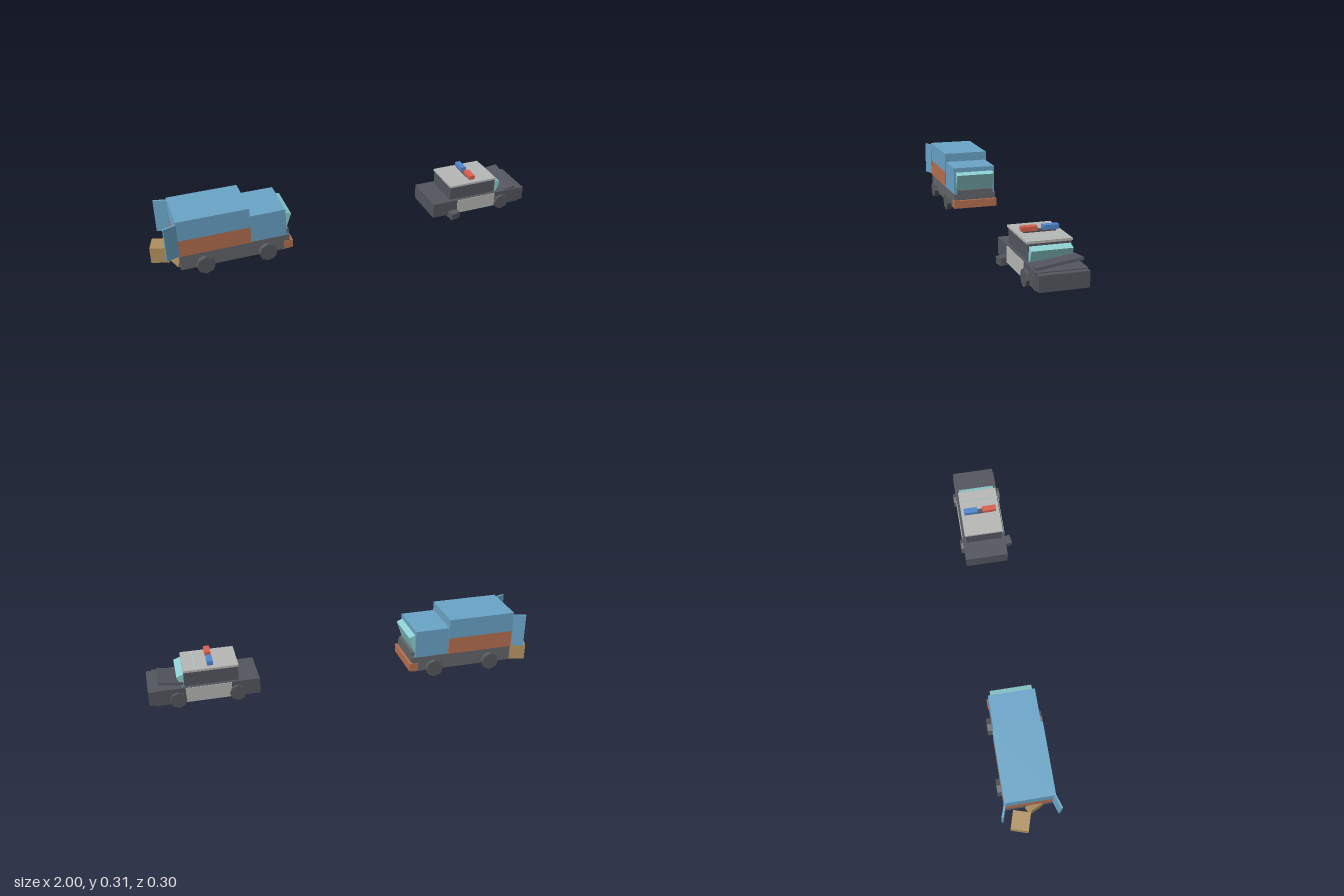
import * as THREE from 'three';

const BLUE = 0x6aa5c8, RUST = 0xb87050, TEAL = 0x8fd0d2, GREY = 0x63666a,
  DARK = 0x54565f, TYRE = 0x55585c, LIGHT = 0xb8b8b6, WOOD = 0xb0905f,
  RED = 0xdc6050, LAMP = 0x5088d0;

const material = (color) => new THREE.MeshStandardMaterial({ color, flatShading: true });

// Box with given size, centre and optional rotation
function box(parent, name, color, size, pos, rot = [0, 0, 0]) {
  const mesh = new THREE.Mesh(new THREE.BoxGeometry(...size), material(color));
  mesh.name = name;
  mesh.position.set(...pos);
  mesh.rotation.set(...rot);
  parent.add(mesh);
  return mesh;
}

// Box given by its x and y ranges, width along z
function slab(parent, name, color, x0, x1, y0, y1, width, z = 0) {
  return box(parent, name, color, [x1 - x0, y1 - y0, width], [(x0 + x1) / 2, (y0 + y1) / 2, z]);
}

// Low-poly wheel with its axle along z
function wheel(parent, name, x, y, z, radius, width) {
  const geo = new THREE.CylinderGeometry(radius, radius, width, 8);
  geo.rotateX(Math.PI / 2);
  const mesh = new THREE.Mesh(geo, material(TYRE));
  mesh.name = name;
  mesh.position.set(x, y, z);
  parent.add(mesh);
}

function buildVan() {
  const van = new THREE.Group();
  van.name = 'van';

  // Body
  slab(van, 'chassis', GREY, -0.88, -0.335, 0.032, 0.112, 0.235);
  slab(van, 'cargoLower', RUST, -0.883, -0.53, 0.112, 0.2, 0.243);
  slab(van, 'cargoUpper', BLUE, -0.883, -0.53, 0.2, 0.305, 0.243);
  slab(van, 'cab', BLUE, -0.53, -0.35, 0.112, 0.258, 0.232);

  // Nose
  box(van, 'windshield', TEAL, [0.04, 0.11, 0.208], [-0.356, 0.177, 0], [0, 0, -0.35]);
  slab(van, 'grille', GREY, -0.35, -0.333, 0.07, 0.135, 0.2);
  slab(van, 'bumper', RUST, -0.365, -0.32, 0.037, 0.08, 0.243);

  for (const side of [1, -1]) {
    // Open rear doors, splayed outward
    box(van, 'rearDoor', BLUE, [0.065, 0.175, 0.01],
      [-0.913, 0.205, side * 0.129], [0, side * 0.32, 0]);
    for (const x of [-0.762, -0.452]) wheel(van, 'vanWheel', x, 0.046, side * 0.124, 0.046, 0.033);
  }
  return van;
}

function buildPatrolCar() {
  const car = new THREE.Group();
  car.name = 'patrolCar';

  // Body
  slab(car, 'body', DARK, 0.458, 0.97, 0.028, 0.108, 0.228);
  slab(car, 'frontBumper', DARK, 0.97, 0.998, 0.032, 0.104, 0.222);
  for (const side of [1, -1]) {
    slab(car, 'doorPanel', LIGHT, 0.597, 0.82, 0.03, 0.107, 0.004, side * 0.115);
  }
  slab(car, 'cabin', DARK, 0.56, 0.824, 0.108, 0.182, 0.194);
  slab(car, 'roof', LIGHT, 0.557, 0.824, 0.182, 0.193, 0.206);
  box(car, 'windshield', TEAL, [0.1, 0.08, 0.188], [0.797, 0.1395, 0], [0, 0, -0.35]);

  // Buckled hood
  box(car, 'hood', DARK, [0.12, 0.013, 0.21], [0.887, 0.119, 0], [0.135, 0, 0.14]);

  // Roof lights
  slab(car, 'lightBase', DARK, 0.68, 0.703, 0.193, 0.203, 0.15);
  slab(car, 'redLight', RED, 0.677, 0.706, 0.2, 0.221, 0.073, 0.049);
  slab(car, 'blueLight', LAMP, 0.677, 0.706, 0.2, 0.221, 0.073, -0.051);

  // Three wheels in place, a broken part by the fourth
  for (const [x, z] of [[0.858, 0.112], [0.858, -0.112], [0.57, -0.112]]) {
    wheel(car, 'carWheel', x, 0.05, z, 0.04, 0.034);
  }
  box(car, 'brokenPart', TYRE, [0.05, 0.036, 0.056], [0.572, 0.034, 0.121], [0.06, 0.17, 0.06]);
  return car;
}

function buildCrates() {
  const crates = new THREE.Group();
  crates.name = 'crates';
  box(crates, 'standingCrate', WOOD, [0.09, 0.085, 0.088], [-0.947, 0.056, -0.05], [0, -0.3, 0]);
  box(crates, 'tippedCrate', WOOD, [0.085, 0.07, 0.075], [-0.86, 0.056, 0.02], [0.2, 0.45, -0.15]);
  return crates;
}

export function createModel() {
  const model = new THREE.Group();
  model.name = 'chaseScene';
  model.add(buildVan(), buildPatrolCar(), buildCrates());
  model.position.z = -0.006;
  return model;
}
